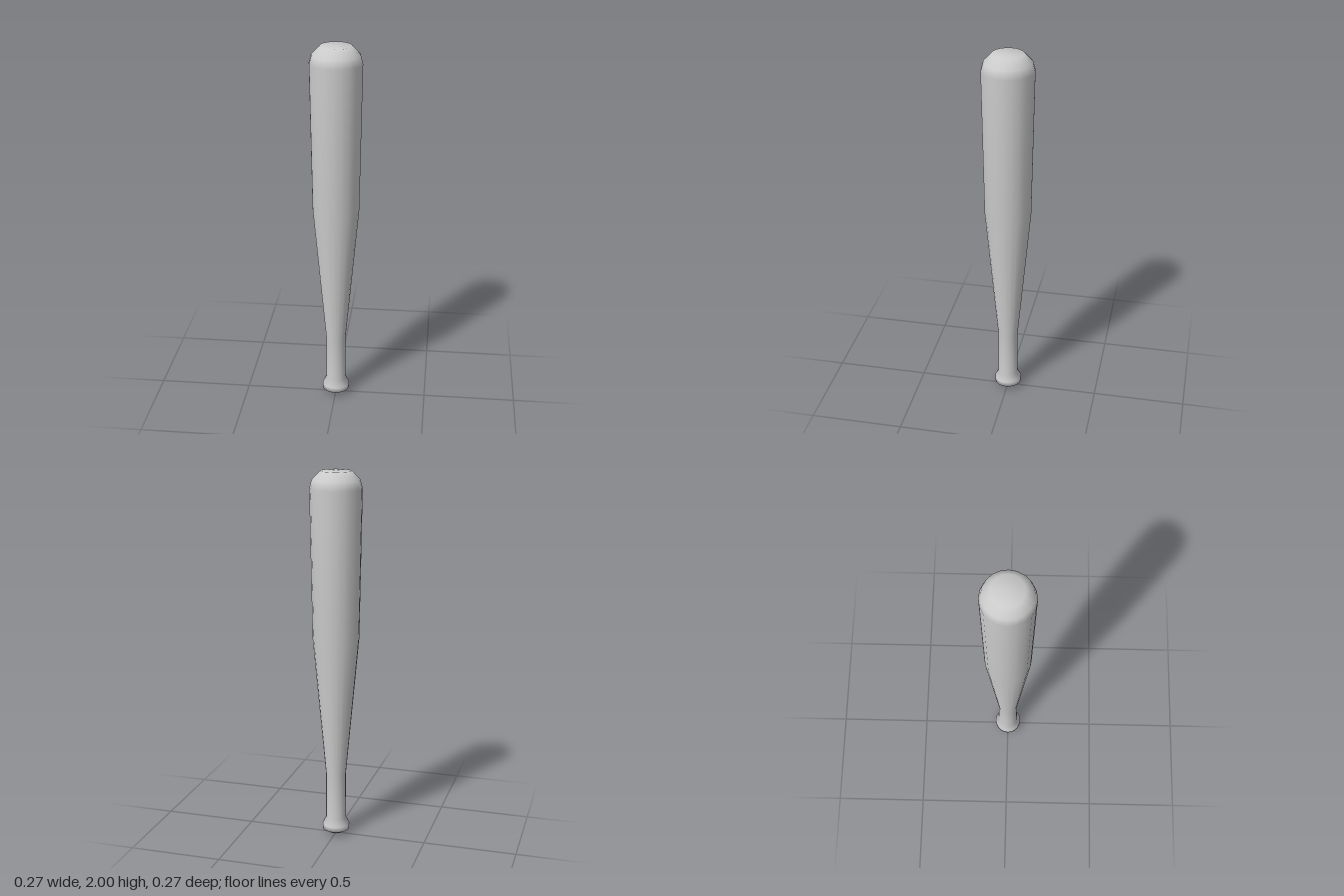
import * as THREE from 'three';

const SIDES = 20;
const material = new THREE.MeshStandardMaterial({ color: 0xcccccc });

// Turned solid from [radius, height] pairs, bottom to top
function turned(name, profile) {
  const points = profile.map(([r, y]) => new THREE.Vector2(r, y));
  const mesh = new THREE.Mesh(new THREE.LatheGeometry(points, SIDES), material);
  mesh.name = name;
  return mesh;
}

export function createModel() {
  const group = new THREE.Group();
  group.name = 'bat';

  // One continuous smooth body: knob, handle, taper, barrel and rounded end
  group.add(turned('batBody', [
    [0, 0], [0.04, 0.01], [0.073, 0.03], [0.074, 0.058], // knob
    [0.055, 0.095], [0.054, 0.35],                       // handle
    [0.124, 1.12],                                       // taper
    [0.137, 1.91],                                       // barrel
    [0.125, 1.955], [0.082, 2], [0, 2],                  // rounded end
  ]));
  return group;
}
